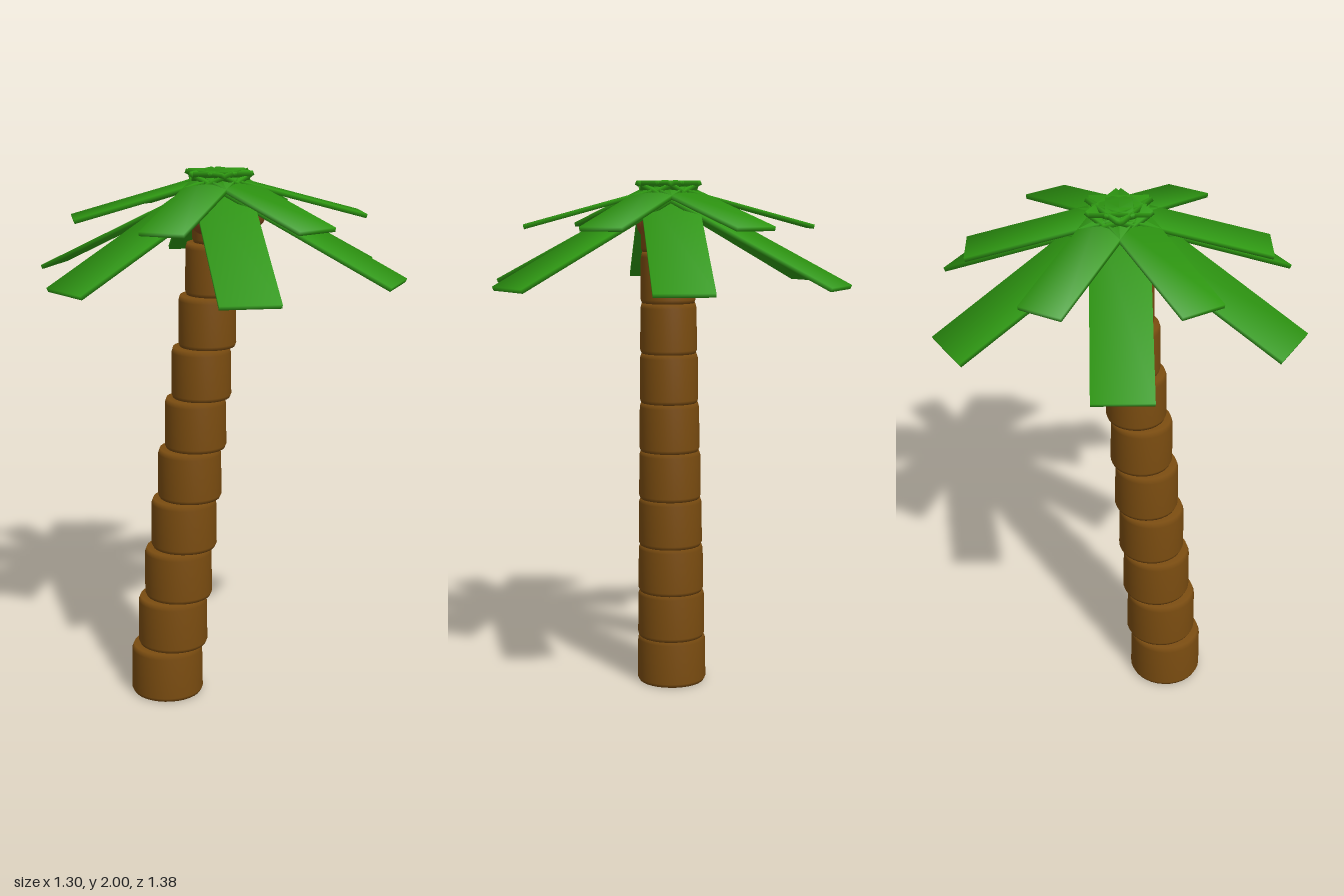
import * as THREE from 'three';

const bark = new THREE.MeshStandardMaterial({ color: 0x7a4c10 });
bark.name = 'barkBrown';
const leaf = new THREE.MeshStandardMaterial({ color: 0x2f9a12 });
leaf.name = 'leafGreen';
const husk = new THREE.MeshStandardMaterial({ color: 0x84481a });
husk.name = 'huskBrown';

// Flat plank leaf running from a raised inner end down to its tip
function frond(name, angle, inner, tip, width) {
  const dx = tip[0] - inner[0], dy = tip[1] - inner[1];
  const geo = new THREE.BoxGeometry(Math.hypot(dx, dy), 0.016, width);
  // soft corner normals give the leaf a gentle roundness
  const p = geo.attributes.position, v = new THREE.Vector3();
  for (let i = 0; i < p.count; i++) {
    v.set(Math.sign(p.getX(i)) * 0.5, Math.sign(p.getY(i)), Math.sign(p.getZ(i)) * 0.5).normalize();
    geo.attributes.normal.setXYZ(i, v.x, v.y, v.z);
  }
  const mesh = new THREE.Mesh(geo, leaf);
  mesh.position.set((tip[0] + inner[0]) / 2, (tip[1] + inner[1]) / 2, 0);
  mesh.rotation.z = Math.atan2(dy, dx);
  const pivot = new THREE.Group();
  pivot.name = name;
  pivot.rotation.y = angle;
  pivot.add(mesh);
  return pivot;
}

export function createModel() {
  const tree = new THREE.Group();
  tree.name = 'palmTree';

  // Leaning trunk of ten stacked, shrinking drums
  const trunk = new THREE.Group();
  trunk.name = 'trunk';
  for (let i = 0; i < 10; i++) {
    const r = 0.138 - 0.0042 * i;
    const h = i === 9 ? 0.165 : 0.193;
    const profile = [[0, 0], [r * 0.95, 0], [r, 0.014], [r * 0.985, h - 0.02], [r * 0.93, h], [0, h]]
      .map(([x, y]) => new THREE.Vector2(x, y));
    const drum = new THREE.Mesh(new THREE.LatheGeometry(profile, 32), bark);
    drum.name = 'trunkSegment';
    drum.position.set(-0.218 + 0.0242 * i, 0.193 * i, 0.088 - 0.0095 * i);
    trunk.add(drum);
  }
  tree.add(trunk);

  // Crown: six long steep fronds with six short shallow ones between
  const crown = new THREE.Group();
  crown.name = 'crown';
  for (let i = 0; i < 6; i++) {
    const a = i * Math.PI / 3;
    crown.add(frond('longFrond', a + Math.PI / 6, [-0.075, 1.992], [0.685, 1.617], 0.212));
    crown.add(frond('shortFrond', a, [-0.05, 1.99], [0.537, 1.83], 0.166));
  }
  tree.add(crown);

  // Coconuts under the crown
  for (const [x, y, z] of [[0.113, 1.84, -0.015], [-0.062, 1.84, 0.09]]) {
    const nut = new THREE.Mesh(new THREE.SphereGeometry(0.065, 24, 16), husk);
    nut.name = 'coconut';
    nut.position.set(x, y, z);
    tree.add(nut);
  }
  return tree;
}
